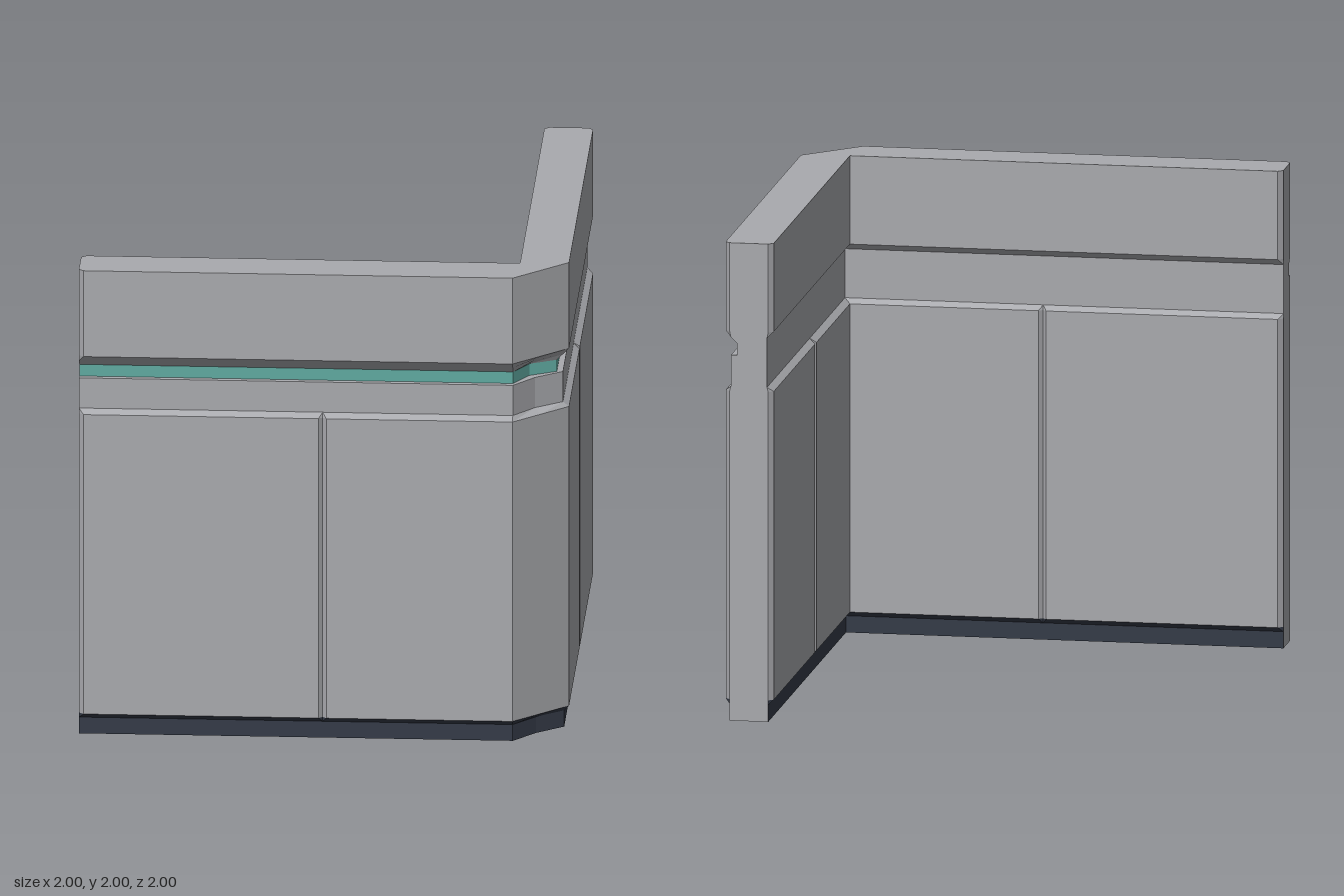
import * as THREE from 'three';

const MATERIALS = {
  wall: new THREE.MeshStandardMaterial({ color: 0xa9aaae, name: 'wall grey' }),
  skirting: new THREE.MeshStandardMaterial({ color: 0x353b48, name: 'dark navy' }),
  lightStrip: new THREE.MeshStandardMaterial({ color: 0x60aaa1, name: 'teal' }),
};

const BEVEL = 0.02;   // bevel on the free ends
const SEAM = 0.016;   // depth and half width of the panel seams
const INNER = 0.8;    // inner wall plane
const OUTER_SEGMENTS = 12, END_A = 12, END_B = 23;

// Wall profile: height, outer inset, inner inset, seams present,
// and the part on the outer / inner side of the band that starts here.
const PROFILE = [
  [0.00, 0.020, 0.020, 0, 'skirting', 'skirting'],
  [0.07, 0.020, 0.020, 1, 'skirting', 'skirting'],
  [0.09, 0.000, 0.000, 1, 'wall', 'wall'],
  [1.38, 0.000, 0.000, 1, 'wall', 'wall'],
  [1.40, 0.025, 0.025, 0, 'wall', 'wall'],
  [1.53, 0.025, 0.025, 0, 'wall', 'wall'],
  [1.53, 0.050, 0.025, 0, 'lightStrip', 'wall'],
  [1.58, 0.050, 0.025, 0, 'wall', 'wall'],
  [1.605, 0.025, 0.025, 0, 'wall', 'wall'],
  [1.63, 0.000, 0.000, 0, 'wall', 'wall'],
  [2.00, 0.000, 0.000, 0, 'wall', 'wall'],
];

// One side of the front wing: bevelled end, then the seam notch.
// "into" points from the face into the wall along z.
function wingSide(z, into, inset, seams) {
  const bevel = Math.max(0, BEVEL - inset);
  const g = seams ? Math.max(0, SEAM - inset) : 0;
  return [
    [-1, z + into * bevel], [-1 + bevel, z],
    [-g, z], [0, z + into * g], [g, z],
  ];
}

// L-shaped outline at one height; the second wing mirrors the first in x = z.
function outline([y, outer, inner, seams]) {
  const swap = ([x, z]) => [z, x];
  const out = [...wingSide(1 - outer, -1, outer, seams), [0.78, 1 - outer]];
  const inn = wingSide(INNER + inner, 1, inner, seams);
  const loop = [
    ...out, [0.89 - outer, 0.89 - outer], ...out.map(swap).reverse(),
    ...inn.map(swap), [INNER + inner, INNER + inner], ...[...inn].reverse(),
  ];
  return loop.map(([x, z]) => new THREE.Vector3(x, y, z));
}

function addTriangle(list, a, b, c) {
  const area = b.clone().sub(a).cross(c.clone().sub(a)).length();
  if (area > 1e-8) for (const p of [a, b, c]) list.push(p.x, p.y, p.z);
}

function addCap(list, ring, up) {
  const flat = ring.map((p) => new THREE.Vector2(p.x, -p.z));
  for (const [a, b, c] of THREE.ShapeUtils.triangulateShape(flat, [])) {
    if (up) addTriangle(list, ring[a], ring[b], ring[c]);
    else addTriangle(list, ring[a], ring[c], ring[b]);
  }
}

export function createModel() {
  const parts = { wall: [], skirting: [], lightStrip: [] };
  const rings = PROFILE.map(outline);

  // Bands between successive outlines
  for (let k = 0; k < rings.length - 1; k++) {
    const low = rings[k], high = rings[k + 1];
    for (let i = 0; i < low.length; i++) {
      const j = (i + 1) % low.length;
      const isEnd = i === END_A || i === END_B;
      const name = isEnd ? 'wall' : PROFILE[k][i < OUTER_SEGMENTS ? 4 : 5];
      addTriangle(parts[name], low[i], low[j], high[j]);
      addTriangle(parts[name], low[i], high[j], high[i]);
    }
  }

  // Top and underside
  addCap(parts.wall, rings[rings.length - 1], true);
  addCap(parts.wall, rings[0], false);

  const group = new THREE.Group();
  group.name = 'cornerWall';
  for (const [name, positions] of Object.entries(parts)) {
    const geometry = new THREE.BufferGeometry();
    geometry.setAttribute('position', new THREE.Float32BufferAttribute(positions, 3));
    geometry.computeVertexNormals();
    const mesh = new THREE.Mesh(geometry, MATERIALS[name]);
    mesh.name = name;
    group.add(mesh);
  }
  return group;
}
